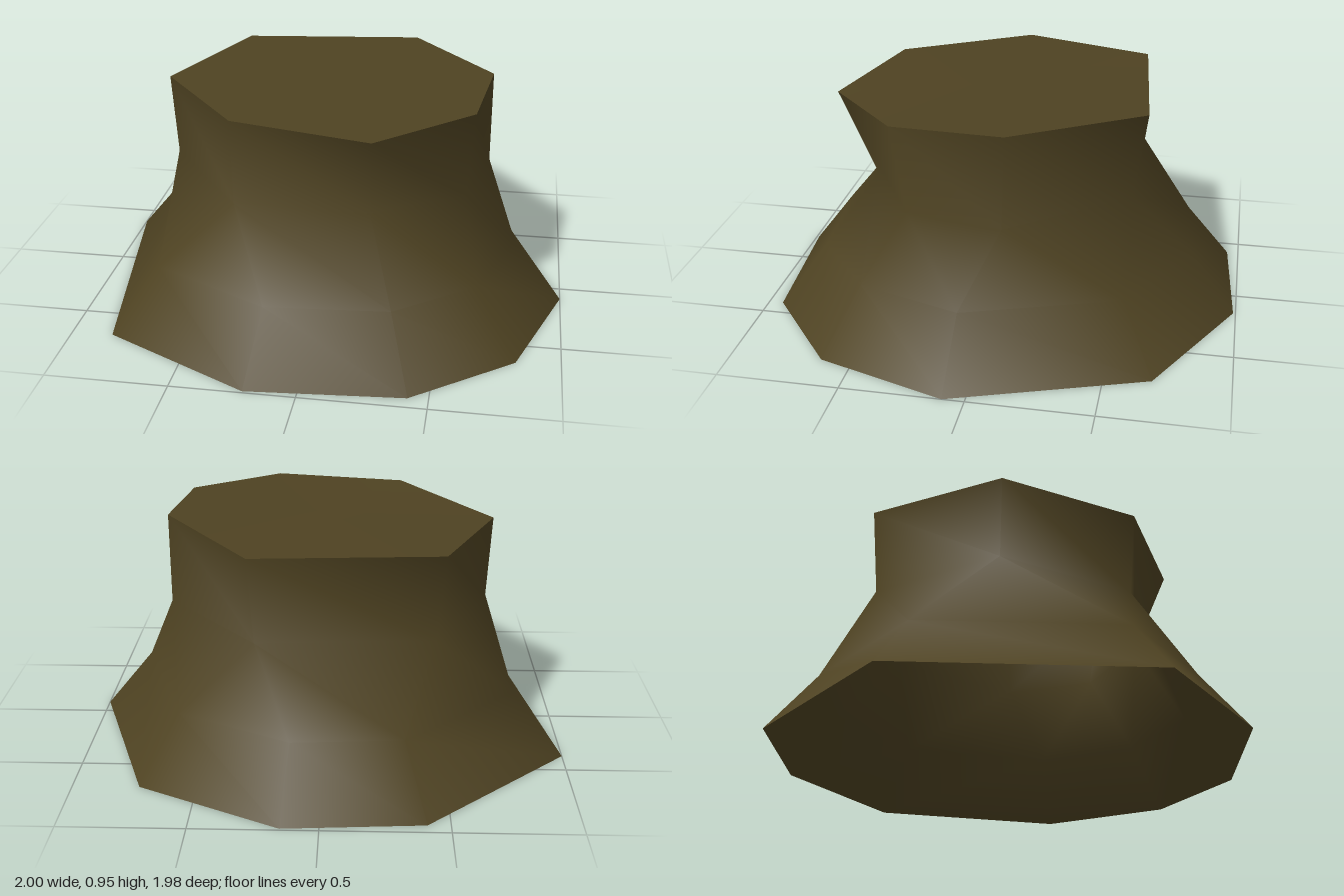
import * as THREE from 'three';

export function createModel() {
  const model = new THREE.Group();
  const bark = new THREE.MeshStandardMaterial({ color: 0x4f4322, side: THREE.DoubleSide });
  bark.name = 'darkBark';

  // cross-sections as [x, y, z], running clockwise seen from above
  const base = [[-0.41, -0.95], [0.15, -0.99], [0.73, -0.69], [1, 0.09], [0.82, 0.63],
    [0.42, 0.94], [-0.21, 0.99], [-0.83, 0.67], [-1, -0.38]].map(([x, z]) => [x, 0, z]);
  const flare = base.map(([x, , z]) => [x * 0.79, 0.26, z * 0.8]);
  const waist = [[-0.45, -0.51], [0.27, -0.55], [0.66, -0.08], [0.58, 0.32], [0.22, 0.54],
    [-0.33, 0.53], [-0.69, 0.03]].map(([x, z]) => [x, 0.57, z]);
  const rim = [[-0.48, 0.93, -0.53], [0.29, 0.937, -0.6], [0.66, 0.955, -0.09], [0.61, 0.945, 0.37],
    [0.24, 0.93, 0.69], [-0.33, 0.935, 0.56], [-0.71, 0.915, 0.04]];
  // the nine root corners merge into seven trunk corners
  const merge = [0, 1, 1, 2, 3, 4, 5, 5, 6];

  const makeGeometry = (points, index) => {
    const g = new THREE.BufferGeometry();
    g.setAttribute('position', new THREE.Float32BufferAttribute(points.flat(), 3));
    g.setIndex(index);
    g.computeVertexNormals();
    return g;
  };

  // smooth flared side, open underneath
  const index = [];
  const rings = [
    base.map((_, i) => i),
    base.map((_, i) => 9 + i),
    merge.map((m) => 18 + m),
    merge.map((m) => 25 + m),
  ];
  for (let r = 0; r < 3; r++) {
    for (let i = 0; i < 9; i++) {
      const j = (i + 1) % 9;
      const a = rings[r][i], b = rings[r][j], c = rings[r + 1][i], d = rings[r + 1][j];
      if (a !== b) index.push(a, d, b);
      if (c !== d) index.push(a, c, d);
    }
  }
  const side = new THREE.Mesh(makeGeometry([...base, ...flare, ...waist, ...rim], index), bark);
  side.name = 'stumpSide';

  // cut top, with a crisp edge
  const capIndex = [];
  rim.forEach((_, i) => capIndex.push(7, (i + 1) % 7, i));
  const cap = new THREE.Mesh(makeGeometry([...rim, [0.03, 0.935, 0.04]], capIndex), bark);
  cap.name = 'cutTop';

  model.add(side, cap);
  model.name = 'treeStump';
  return model;
}
